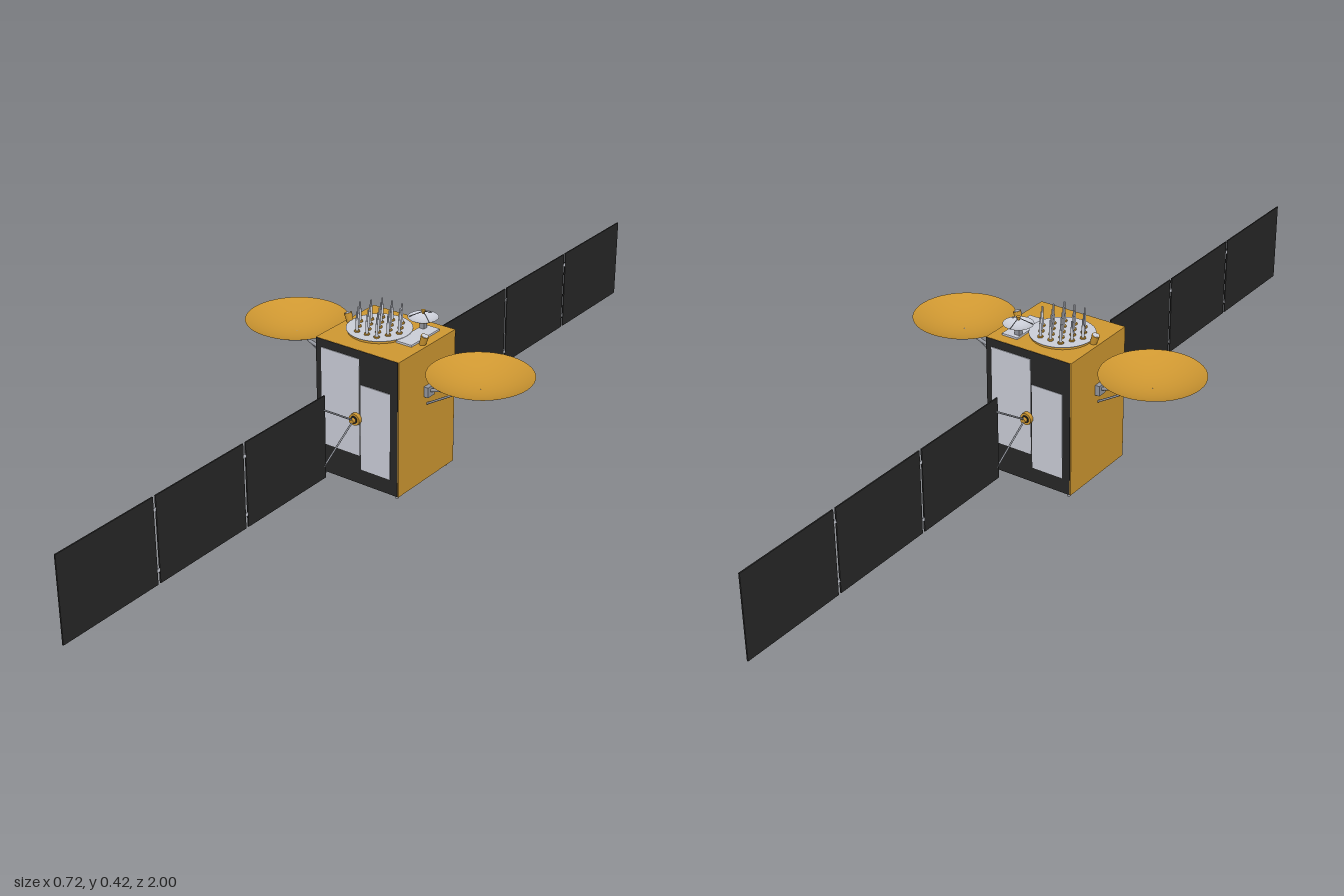
import * as THREE from 'three';

const paint = (name, color, side = THREE.FrontSide) => {
  const m = new THREE.MeshStandardMaterial({ color, side });
  m.name = name;
  return m;
};

export function createModel() {
  const gold = paint('goldFoil', 0xce9731);
  const dark = paint('darkPanel', 0x272727);
  const light = paint('radiatorGrey', 0xcbced8);
  const metal = paint('metalGrey', 0x94979f);
  const shell = paint('dishBackGrey', 0x84868c);
  const bore = paint('nozzleBore', 0x272727, THREE.BackSide);

  const model = new THREE.Group();
  model.name = 'satellite';

  const add = (parent, name, geo, mat, x = 0, y = 0, z = 0) => {
    const mesh = new THREE.Mesh(geo, mat);
    mesh.name = name;
    mesh.position.set(x, y, z);
    parent.add(mesh);
    return mesh;
  };
  const box = (w, h, d) => new THREE.BoxGeometry(w, h, d);
  const cyl = (rt, rb, h, n = 16, open = false) => new THREE.CylinderGeometry(rt, rb, h, n, 1, open);
  // Round bar between two points
  const rod = (parent, name, a, b, r, mat) => {
    const p = new THREE.Vector3(...a), q = new THREE.Vector3(...b);
    const mesh = add(parent, name, cyl(r, r, p.distanceTo(q), 8), mat);
    mesh.position.copy(p).add(q).multiplyScalar(0.5);
    mesh.quaternion.setFromUnitVectors(new THREE.Vector3(0, 1, 0), q.sub(p).normalize());
  };
  // Parabolic bowl: separate inner and outer skins, base of the bowl at y = 0
  const dish = (parent, name, r, depth, inner, outer, x, y, z) => {
    const g = new THREE.Group();
    g.name = name;
    g.position.set(x, y, z);
    const curve = (lift) => Array.from({ length: 11 }, (_, i) => {
      const t = i / 10;
      return new THREE.Vector2(Math.max(r * t, 1e-5), lift + (depth - lift) * t * t);
    });
    add(g, 'bowlBack', new THREE.LatheGeometry(curve(0), 40), outer);
    add(g, 'bowlFace', new THREE.LatheGeometry(curve(0.002).reverse(), 40), inner);
    parent.add(g);
  };

  // Body: foil box with dark end faces
  add(model, 'body', box(0.22, 0.323, 0.208), gold, 0, 0.201, 0);

  // Both ends are the same, turned half a turn
  for (const turn of [0, Math.PI]) {
    const end = new THREE.Group();
    end.name = turn ? 'backEnd' : 'frontEnd';
    end.rotation.y = turn;
    model.add(end);
    add(end, 'endPanel', box(0.217, 0.322, 0.002), dark, -0.001, 0.201, 0.104);
    add(end, 'tallRadiator', box(0.102, 0.233, 0.002), light, -0.044, 0.2265, 0.1055);
    add(end, 'shortRadiator', box(0.078, 0.206, 0.002), light, 0.0495, 0.18, 0.1055);

    // Solar wing drive and yoke
    add(end, 'driveHub', cyl(0.014, 0.014, 0.01, 10), gold, 0, 0.2, 0.111).rotation.x = Math.PI / 2;
    add(end, 'driveCollar', cyl(0.009, 0.009, 0.002, 10), dark, 0, 0.2, 0.117).rotation.x = Math.PI / 2;
    add(end, 'driveShaft', cyl(0.006, 0.006, 0.01, 10), gold, 0, 0.2, 0.121).rotation.x = Math.PI / 2;
    for (const s of [1, -1]) {
      rod(end, 'yokeArm', [0, 0.2, 0.118], [0, 0.2 + s * 0.068, 0.222], 0.002, metal);
    }

    // Three thin panels with open gaps, joined by small hinges
    for (const [a, b] of [[0.217, 0.4735], [0.4805, 0.7365], [0.7435, 1]]) {
      add(end, 'solarPanel', box(0.003, 0.195, b - a), dark, 0, 0.2025, (a + b) / 2);
    }
    for (const z of [0.477, 0.74]) {
      for (const y of [0.135, 0.27]) add(end, 'hinge', box(0.002, 0.008, 0.008), light, 0, y, z);
    }
  }

  // Side reflectors with brackets, arms and feed horns
  for (const s of [1, -1]) {
    const side = new THREE.Group();
    side.name = s > 0 ? 'leftReflector' : 'rightReflector';
    model.add(side);
    dish(side, 'reflector', 0.116, 0.034, gold, shell, s * 0.246, 0.298, 0);
    add(side, 'bracket', box(0.012, 0.024, 0.024), metal, s * 0.115, 0.258, 0);
    rod(side, 'mainArm', [s * 0.118, 0.259, 0], [s * 0.212, 0.286, 0], 0.004, metal);
    rod(side, 'armTip', [s * 0.208, 0.285, 0], [s * 0.248, 0.298, 0], 0.003, metal);
    rod(side, 'brace', [s * 0.108, 0.224, 0], [s * 0.212, 0.286, 0], 0.0025, metal);
    const horn = new THREE.Group();
    horn.name = 'feedHorn';
    horn.position.set(s * 0.099, 0.371, 0);
    horn.rotation.z = -s * 0.3;
    side.add(horn);
    add(horn, 'hornBody', cyl(0.009, 0.007, 0.026), gold);
    add(horn, 'hornMouth', cyl(0.007, 0.007, 0.001), light, 0, 0.0132, 0);
  }

  // Antenna array on the top deck: hexagonal grid of nineteen rods
  const array = new THREE.Group();
  array.name = 'antennaArray';
  array.position.set(-0.02, 0.362, -0.004);
  model.add(array);
  add(array, 'arrayBase', cyl(0.07, 0.07, 0.006, 32), gold, 0, 0.003, 0);
  add(array, 'arrayDeck', cyl(0.073, 0.073, 0.001, 32), light, 0, 0.0065, 0);
  for (let row = -2; row <= 2; row++) {
    const count = 5 - Math.abs(row);
    for (let i = 0; i < count; i++) {
      const x = (i - (count - 1) / 2) * 0.0263, z = row * 0.0228;
      add(array, 'elementFoot', cyl(0.0065, 0.0065, 0.003, 12), gold, x, 0.0085, z);
      add(array, 'elementLower', cyl(0.0028, 0.0035, 0.03, 10), light, x, 0.024, z);
      add(array, 'elementTip', cyl(0.002, 0.002, 0.015, 8), light, x, 0.046, z);
    }
  }

  // Small steerable dish on the top deck
  const small = new THREE.Group();
  small.name = 'smallAntenna';
  small.position.set(0.0545, 0.362, -0.062);
  model.add(small);
  add(small, 'mountPlate', box(0.04, 0.005, 0.105), light, 0.012, 0.0025, 0.036);
  add(small, 'mountPost', box(0.012, 0.02, 0.012), metal, 0, 0.011, 0);
  dish(small, 'smallDish', 0.034, 0.011, light, gold, 0, 0.02, 0);
  for (let i = 0; i < 3; i++) {
    const a = Math.PI / 6 + i * Math.PI * 2 / 3;
    rod(small, 'feedStrut', [Math.cos(a) * 0.031, 0.03, Math.sin(a) * 0.031], [0, 0.044, 0], 0.001, metal);
  }
  add(small, 'feed', cyl(0.005, 0.003, 0.008, 12), gold, 0, 0.043, 0);

  // Main engine under the body
  add(model, 'engineRing', cyl(0.063, 0.063, 0.013, 32), light, 0, 0.0335, 0);
  add(model, 'engineNozzle', cyl(0.011, 0.025, 0.028, 24, true), metal, 0, 0.014, 0);
  add(model, 'nozzleBore', cyl(0.01, 0.0245, 0.027, 24), bore, 0, 0.0145, 0).geometry =
    cyl(0.01, 0.0245, 0.027, 24, true);
  add(model, 'nozzleThroat', cyl(0.0125, 0.0125, 0.002, 20), dark, 0, 0.026, 0);

  // Corner thrusters
  for (const x of [-0.098, 0.098]) {
    for (const z of [-0.093, 0.093]) {
      add(model, 'thruster', cyl(0.002, 0.0035, 0.011, 10), metal, x, 0.0345, z);
    }
  }

  return model;
}
